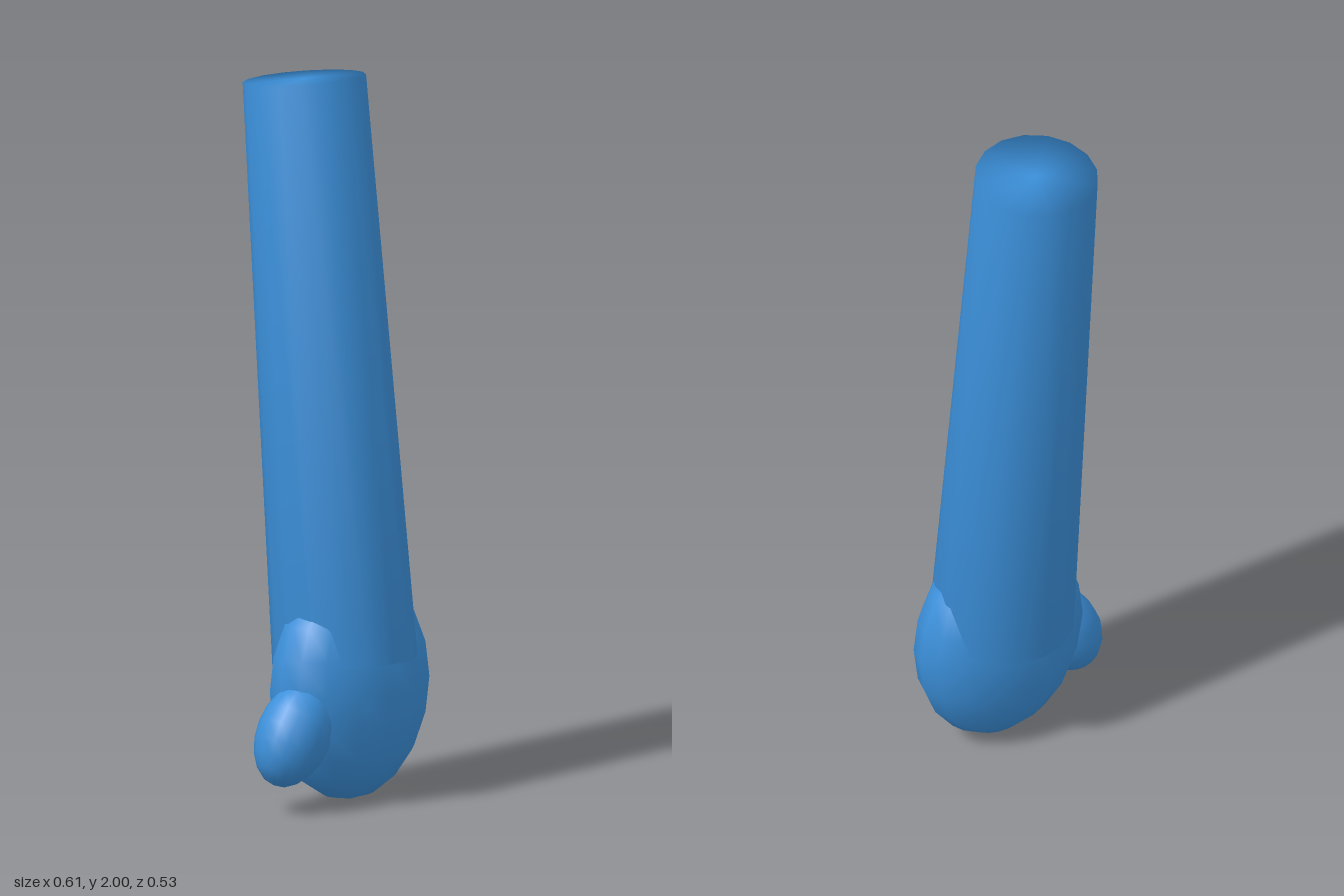
import * as THREE from 'three';

export function createModel() {
  const group = new THREE.Group();
  const blue = new THREE.MeshStandardMaterial({ color: 0x3b8fd9 });
  blue.name = 'blue';

  const add = (name, geometry, x, y, z) => {
    const mesh = new THREE.Mesh(geometry, blue);
    mesh.name = name;
    mesh.position.set(x, y, z);
    group.add(mesh);
    return mesh;
  };

  const ellipsoid = (rx, ry, rz) => new THREE.SphereGeometry(1, 16, 10).scale(rx, ry, rz);

  // Tapered sleeve with closed ends; the lathe blends the normals over the rims
  const half = 0.803;
  const profile = [[0, -half], [0.199, -half], [0.169, half], [0, half]];
  const sleeve = add('sleeve',
    new THREE.LatheGeometry(profile.map(([r, y]) => new THREE.Vector2(r, y)), 16),
    0.045, 1.184, -0.015);
  sleeve.rotation.x = -0.103;

  // Flattened hand pushed into the sleeve's lower end
  add('hand', ellipsoid(0.259, 0.318, 0.158), 0.045, 0.323, 0.086);

  // Thumb leaning into the side of the hand
  const thumb = add('thumb', ellipsoid(0.105, 0.152, 0.1), -0.185, 0.22, 0.114);
  thumb.rotation.z = -0.52;

  return group;
}
